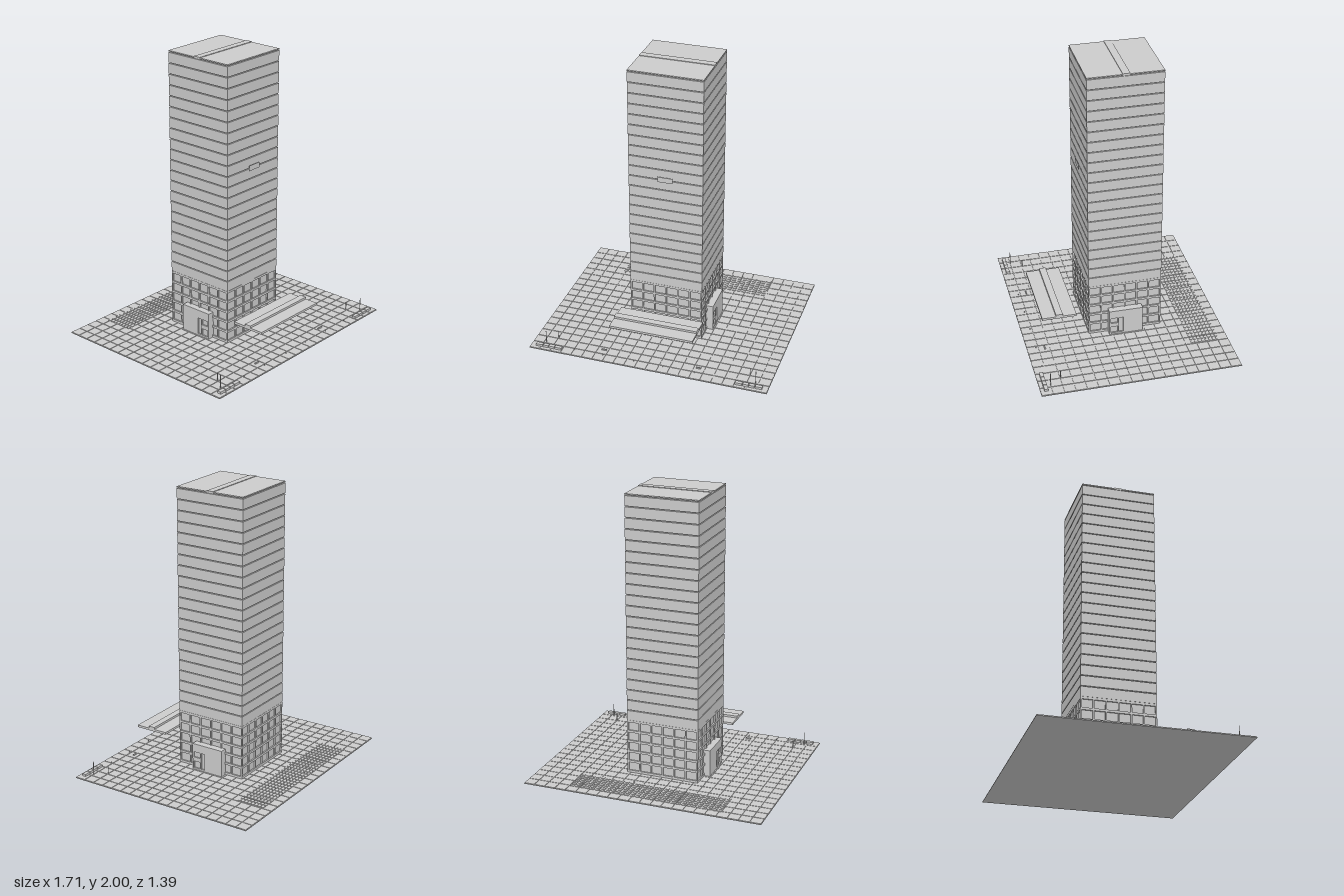
import * as THREE from 'three';
import { mergeGeometries } from 'three/addons/utils/BufferGeometryUtils.js';

const concrete = new THREE.MeshStandardMaterial({ color: 0xcccccc });
concrete.name = 'concrete grey';

// Box given by its limits along each axis
function box(x0, x1, y0, y1, z0, z1) {
  const g = new THREE.BoxGeometry(x1 - x0, y1 - y0, z1 - z0);
  return g.translate((x0 + x1) / 2, (y0 + y1) / 2, (z0 + z1) / 2);
}

function part(group, name, geometries) {
  const mesh = new THREE.Mesh(mergeGeometries(geometries), concrete);
  mesh.name = name;
  group.add(mesh);
}

export function createModel() {
  const model = new THREE.Group();
  model.name = 'officeTower';

  const X0 = -0.262, X1 = 0.258, Z0 = -0.28, Z1 = 0.238;
  const FLOOR = 0.0755, BASE_TOP = 0.4, inset = 0.01;

  // Paved plaza: thin bed with separate square slabs
  const W = 1.705, D = 1.39, cols = 22, rows = 18, joint = 0.0025;
  part(model, 'plazaBed', [box(-W / 2, W / 2, 0, 0.004, -D / 2, D / 2)]);
  const slabs = [];
  for (let i = 0; i < cols; i++) {
    for (let j = 0; j < rows; j++) {
      const x = -W / 2 + i * W / cols, z = -D / 2 + j * D / rows;
      slabs.push(box(x + joint, x + W / cols - joint, 0.004, 0.008,
        z + joint, z + D / rows - joint));
    }
  }
  part(model, 'pavingSlabs', slabs);

  // Rear field of small grating blocks
  const grating = [];
  for (let i = 0; i < 30; i++) {
    const x = -0.557 + i * 0.0368;
    for (let j = 0; j < 8; j++) {
      const z = -0.627 + j * 0.026;
      grating.push(box(x, x + 0.026, 0.007, 0.012, z, z + 0.017));
    }
  }
  part(model, 'rearGrating', grating);

  // Inner core seen in the grooves between storeys
  part(model, 'towerCore', [box(X0 + inset, X1 - inset, 0.008, 1.985, Z0 + inset, Z1 - inset)]);

  // Upper storeys
  const storeys = [];
  for (let i = 0; i < 21; i++) {
    const y = BASE_TOP + i * FLOOR;
    storeys.push(box(X0, X1, y + 0.003, y + FLOOR - 0.003, Z0, Z1));
  }
  part(model, 'upperStoreys', storeys);

  // Glazed lower storeys: bands and piers in front of recessed windows
  const bands = [], piers = [], levels = [0.02, 0.095, 0.17, 0.245, 0.32, 0.395], bays = 6;
  levels.forEach((y) => bands.push(box(X0, X1, y - 0.009, y + 0.007, Z0, Z1)));
  for (let i = 0; i <= bays; i++) {
    const t = i / bays, w = 0.005;
    const x = X0 + w + t * (X1 - X0 - 2 * w), z = Z0 + w + t * (Z1 - Z0 - 2 * w);
    for (const [a, b] of [[Z0, Z0 + inset], [Z1 - inset, Z1]])
      piers.push(box(x - w, x + w, 0.02, 0.395, a, b));
    for (const [a, b] of [[X0, X0 + inset], [X1 - inset, X1]])
      piers.push(box(a, b, 0.02, 0.395, z - w, z + w));
  }
  part(model, 'baseBands', bands);
  part(model, 'basePiers', piers);

  // Side entrances with a framed lobby
  for (const side of [-1, 1]) {
    const g = new THREE.Group();
    g.name = side > 0 ? 'leftEntrance' : 'rightEntrance';
    const along = (a, b, y0, y1, z0, z1) => side > 0
      ? box(a, b, y0, y1, z0, z1) : box(-b, -a, y0, y1, z0, z1);
    part(g, 'lobby', [along(0.25, 0.29, 0.008, 0.19, -0.13, 0.09)]);
    part(g, 'lobbyFrame', [
      along(0.25, 0.3, 0.185, 0.2, -0.14, 0.1),
      along(0.25, 0.3, 0.14, 0.19, -0.14, 0.1),
      along(0.25, 0.3, 0.008, 0.19, 0.09, 0.1),
      along(0.25, 0.3, 0.008, 0.19, -0.14, 0),
      along(0.25, 0.3, 0.008, 0.14, 0.03, 0.04),
      along(0.25, 0.3, 0.07, 0.1, 0.04, 0.09),
      along(0.25, 0.3, 0.008, 0.02, -0.14, 0.1),
    ]);
    model.add(g);
  }

  // Roof: two thin halves and a raised strip across the middle
  part(model, 'roofSlab', [
    box(X0, X1, 1.988, 1.996, Z0, -0.05),
    box(X0, X1, 1.988, 1.996, 0, Z1),
  ]);
  part(model, 'roofStrip', [box(X0, X1, 1.985, 2, -0.05, 0)]);

  // Detached front canopy with its raised strip
  part(model, 'canopy', [box(-0.3, 0.297, 0.206, 0.222, 0.333, 0.575)]);
  part(model, 'canopyStrip', [box(-0.3, 0.297, 0.22, 0.237, 0.43, 0.478)]);

  // Blank plate on the front wall
  part(model, 'wallPlate', [box(-0.055, 0.05, 1.218, 1.255, 0.246, 0.25)]);

  // Mirrored plaza furniture
  const planters = [], poles = [], benches = [], bollards = [];
  for (const s of [-1, 1]) {
    for (const [a, b] of [[0.765, 0.812], [0.722, 0.76], [0.678, 0.717], [0.625, 0.673]])
      planters.push(box(s > 0 ? a : -b, s > 0 ? b : -a, 0.006, 0.024, 0.642, 0.668));
    for (const [x, z, h] of [[0.755, 0.615, 0.105], [0.695, 0.535, 0.066]])
      poles.push(new THREE.CylinderGeometry(0.0025, 0.0025, h, 8).translate(s * x, h / 2, z));
    benches.push(box(s * 0.342 - 0.018, s * 0.342 + 0.018, 0.006, 0.017, 0.568, 0.576));
    for (const x of [0.105, 0.33, 0.54])
      bollards.push(new THREE.CylinderGeometry(0.003, 0.003, 0.016, 8).translate(s * x, 0.008, 0.63));
  }
  part(model, 'planters', planters);
  part(model, 'lampPoles', poles);
  part(model, 'benches', benches);
  part(model, 'bollards', bollards);

  return model;
}
